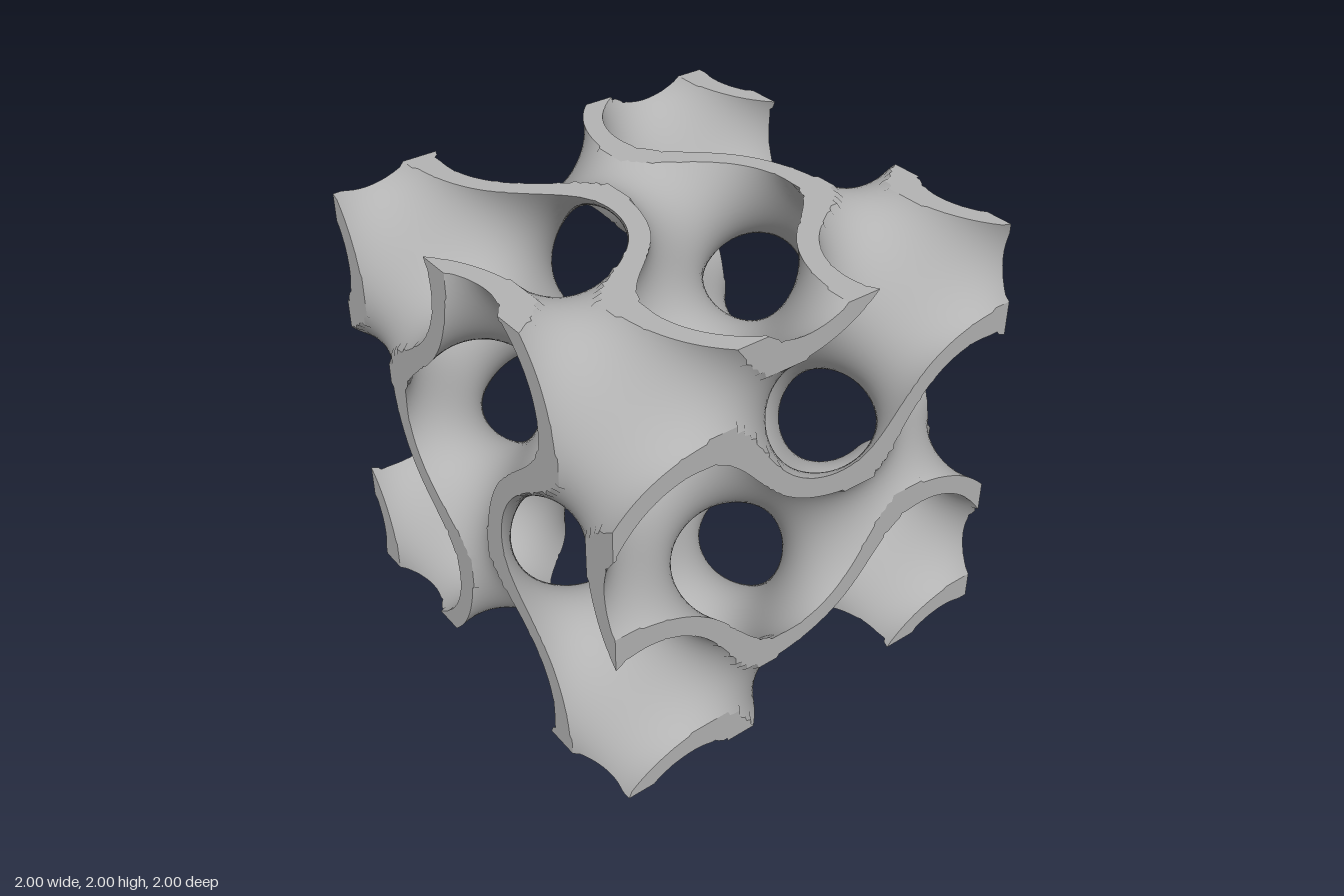
import * as THREE from 'three';

const K = Math.PI / 0.7353; // wave number of the repeating cell
const T = 0.275;            // half thickness of the wall, in field units
const N = 62;               // grid cells per side of the cube
const H = 2 / N;
const M = N + 2;            // grid points per side, one layer outside the cube
const { sin, cos, abs, sign, max, min } = Math;

// Gyroid field and its gradient, in a cube from -1 to 1
const field = ([x, y, z]) =>
  sin(K * x) * cos(K * y) + sin(K * y) * cos(K * z) + sin(K * z) * cos(K * x);
const gradient = ([x, y, z]) => [
  K * (cos(K * x) * cos(K * y) - sin(K * z) * sin(K * x)),
  K * (cos(K * y) * cos(K * z) - sin(K * x) * sin(K * y)),
  K * (cos(K * z) * cos(K * x) - sin(K * y) * sin(K * z)),
];

const coord = (i) => -1 + (i - 0.5) * H;
const index = (i, j, k) => (i * M + j) * M + k;
const STEP = [M * M, M, 1];

// Sheet skin and cut faces as two indexed geometries
function buildSheet() {
  const wall = new Float32Array(M * M * M); // below zero inside the sheet
  const solid = new Uint8Array(M * M * M);
  const outer = (i) => i === 0 || i === M - 1;
  for (let i = 0; i < M; i++) for (let j = 0; j < M; j++) for (let k = 0; k < M; k++) {
    const id = index(i, j, k);
    wall[id] = abs(field([coord(i), coord(j), coord(k)])) - T;
    solid[id] = wall[id] < 0 && !outer(i) && !outer(j) && !outer(k) ? 1 : 0;
  }

  // One vertex in each cell that the surface crosses
  const vertexCache = new Map();
  function vertex(cell) {
    const id = index(...cell);
    if (vertexCache.has(id)) return vertexCache.get(id);
    const sum = [0, 0, 0];
    let count = 0;
    for (let c = 0; c < 8; c++) for (let a = 0; a < 3; a++) {
      const bit = 1 << a;
      if (c & bit) continue;
      const p = [0, 1, 2].map((q) => cell[q] + ((c >> q) & 1));
      const u = index(...p), v = u + STEP[a];
      if ((wall[u] < 0) === (wall[v] < 0)) continue;
      const s = wall[u] / (wall[u] - wall[v]);
      for (let q = 0; q < 3; q++) sum[q] += coord(p[q]) + (q === a ? s * H : 0);
      count++;
    }
    const start = cell.map((c, q) => (count ? sum[q] / count : coord(c) + H / 2));
    // Snap to the cube faces, then slide onto the wall surface
    const free = cell.map((c) => (c === 0 || c === M - 2 ? 0 : 1));
    const pos = start.map((s, q) => (free[q] ? s : cell[q] === 0 ? -1 : 1));
    if (count) {
      const side = sign(field(pos)) || 1;
      for (let n = 0; n < 5; n++) {
        const g = gradient(pos).map((v, q) => v * free[q]);
        const d = (side * field(pos) - T) / max(2, g[0] ** 2 + g[1] ** 2 + g[2] ** 2);
        for (let q = 0; q < 3; q++) {
          if (!free[q]) continue;
          const moved = pos[q] - side * d * g[q];
          pos[q] = min(coord(cell[q] + 1), max(coord(cell[q]), moved));
        }
      }
    }
    vertexCache.set(id, pos);
    return pos;
  }

  const makePart = () => ({ positions: [], normals: [], indices: [], seen: new Map() });
  const skin = makePart(), rim = makePart();
  function add(part, cell, flatNormal, key) {
    if (part.seen.has(key)) return part.seen.get(key);
    const p = vertex(cell);
    let n = flatNormal;
    if (!n) {
      const s = sign(field(p));
      const g = gradient(p);
      const len = Math.hypot(...g) || 1;
      n = g.map((v) => (s * v) / len);
    }
    const at = part.positions.length / 3;
    part.positions.push(...p);
    part.normals.push(...n);
    part.seen.set(key, at);
    return at;
  }

  // One quad around each grid edge that leaves the solid
  for (let i = 0; i < M - 1; i++) for (let j = 0; j < M - 1; j++) for (let k = 0; k < M - 1; k++) {
    const p = [i, j, k];
    const u = index(i, j, k);
    for (let a = 0; a < 3; a++) {
      if (solid[u] === solid[u + STEP[a]]) continue;
      const b = (a + 1) % 3, c = (a + 2) % 3;
      const isCut = p[a] === 0 || p[a] === M - 2;
      const dir = solid[u] ? 1 : -1;
      const flat = isCut ? [0, 1, 2].map((q) => (q === a ? dir : 0)) : null;
      const part = isCut ? rim : skin;
      const quad = [[0, 0], [1, 0], [1, 1], [0, 1]].map(([db, dc]) => {
        const cell = [...p];
        cell[b] -= db;
        cell[c] -= dc;
        const face = isCut ? a * 2 + (dir > 0 ? 1 : 0) : 0;
        return add(part, cell, flat, index(...cell) * 6 + face);
      });
      if (dir < 0) quad.reverse();
      part.indices.push(quad[0], quad[1], quad[2], quad[0], quad[2], quad[3]);
    }
  }

  return [skin, rim].map(({ positions, normals, indices }) => {
    const g = new THREE.BufferGeometry();
    g.setAttribute('position', new THREE.Float32BufferAttribute(positions, 3));
    g.setAttribute('normal', new THREE.Float32BufferAttribute(normals, 3));
    g.setIndex(indices);
    return g.translate(0, 1, 0);
  });
}

export function createModel() {
  const group = new THREE.Group();
  group.name = 'gyroidCube';
  const grey = new THREE.MeshStandardMaterial({ color: 0xb3b3b3 });
  grey.name = 'grey';
  const [skin, rim] = buildSheet();

  // Curved sheet walls, both sides
  const walls = new THREE.Mesh(skin, grey);
  walls.name = 'curvedWalls';
  // Flat ends where the sheet meets the cube faces
  const ends = new THREE.Mesh(rim, grey);
  ends.name = 'cutEdges';

  group.add(walls, ends);
  return group;
}
